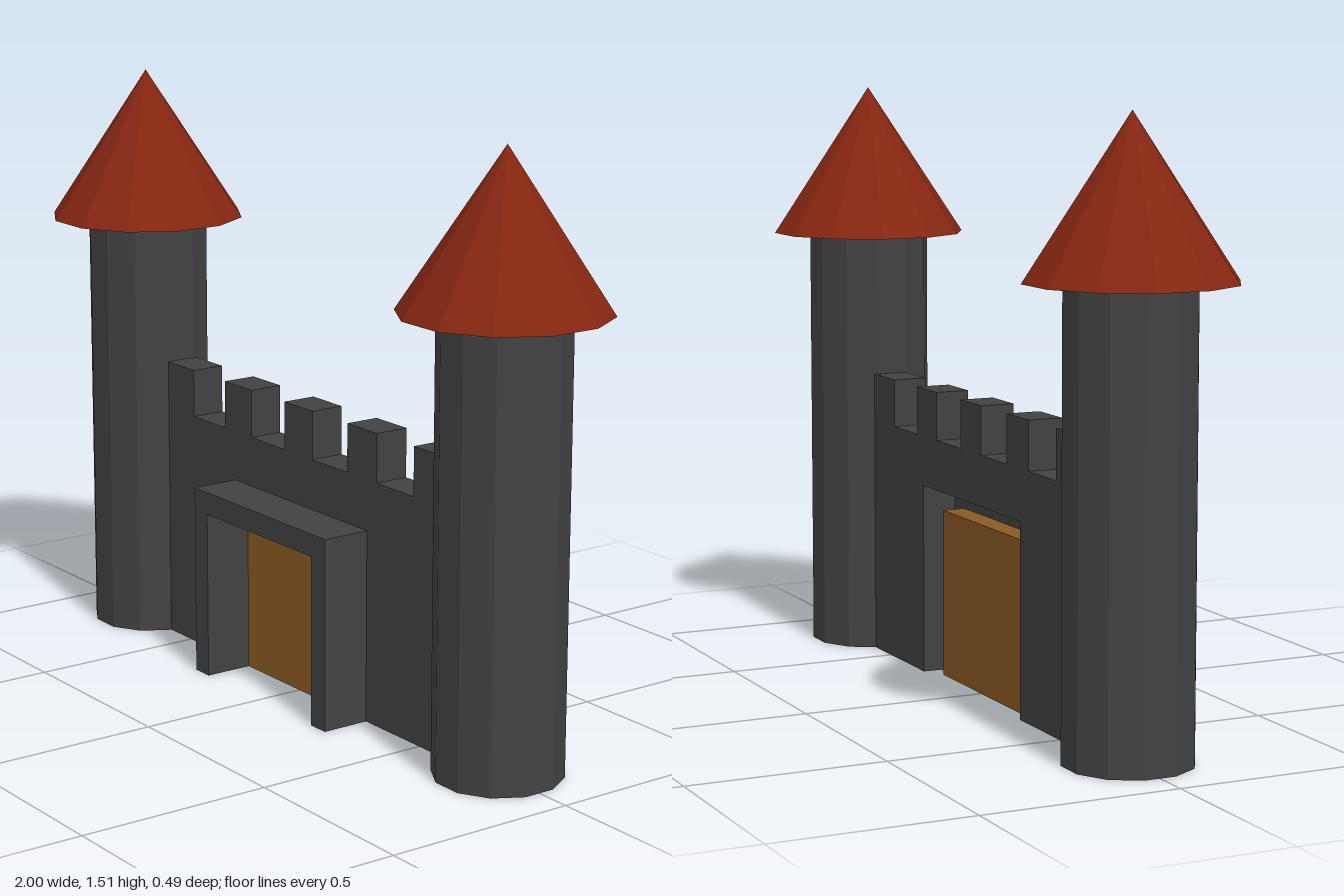
import * as THREE from 'three';

const stone = new THREE.MeshStandardMaterial({ color: 0x424242 });
stone.name = 'darkStone';
const roofTile = new THREE.MeshStandardMaterial({ color: 0x862611 });
roofTile.name = 'redRoof';
const wood = new THREE.MeshStandardMaterial({ color: 0x8b5a22 });
wood.name = 'brownWood';

const SIDES = 12;
const TURN = Math.PI / SIDES; // puts flat faces on the x and z axes

function part(name, geometry, material) {
  const mesh = new THREE.Mesh(geometry, material);
  mesh.name = name;
  return mesh;
}

// Faceted cylinder or cone, with one hard-edged face per side
function faceted(rTop, rBottom, y0, y1) {
  const g = new THREE.CylinderGeometry(rTop, rBottom, y1 - y0, SIDES)
    .rotateY(TURN).translate(0, (y0 + y1) / 2, 0).toNonIndexed();
  g.computeVertexNormals();
  return g;
}

// Outline in x and y, extruded from z0 to z1
function slab(points, z0, z1) {
  const shape = new THREE.Shape(points.map(([x, y]) => new THREE.Vector2(x, y)));
  return new THREE.ExtrudeGeometry(shape, { depth: z1 - z0, bevelEnabled: false })
    .translate(0, 0, z0);
}

export function createModel() {
  const model = new THREE.Group();
  model.name = 'castleGate';

  // Round towers with pointed roofs
  for (const side of [-1, 1]) {
    const tower = new THREE.Group();
    tower.name = side > 0 ? 'leftTower' : 'rightTower';
    tower.position.x = 0.752 * side;
    tower.add(part('towerShaft', faceted(0.16, 0.16, 0, 1.12), stone));
    tower.add(part('towerRoof', faceted(0, 0.256, 1.12, 1.51), roofTile));
    model.add(tower);
  }

  // Curtain wall: gateway notch at the bottom, battlements along the top
  const end = 0.63, walk = 0.625, top = 0.75;
  const outline = [
    [-end, 0], [-0.285, 0], [-0.285, 0.495], [0.285, 0.495], [0.285, 0],
    [end, 0], [end, top],
  ];
  for (let i = 3; i >= 0; i--) {
    const gap = -0.003 + (i - 1.5) * 0.2665; // centre of each crenel
    outline.push([gap + 0.073, top], [gap + 0.073, walk], [gap - 0.073, walk], [gap - 0.073, top]);
  }
  outline.push([-end, top]);
  model.add(part('battlementWall', slab(outline, -0.05, 0.04), stone));

  // Projecting gate surround
  model.add(part('gateFrame', slab([
    [-0.285, 0], [-0.228, 0], [-0.228, 0.437], [0.228, 0.437], [0.228, 0],
    [0.285, 0], [0.285, 0.495], [-0.285, 0.495],
  ], 0.04, 0.167), stone));

  // Wooden gate behind the surround
  const gate = new THREE.BoxGeometry(0.456, 0.437, 0.06).translate(0, 0.2185, 0.01);
  model.add(part('gate', gate, wood));

  return model;
}
